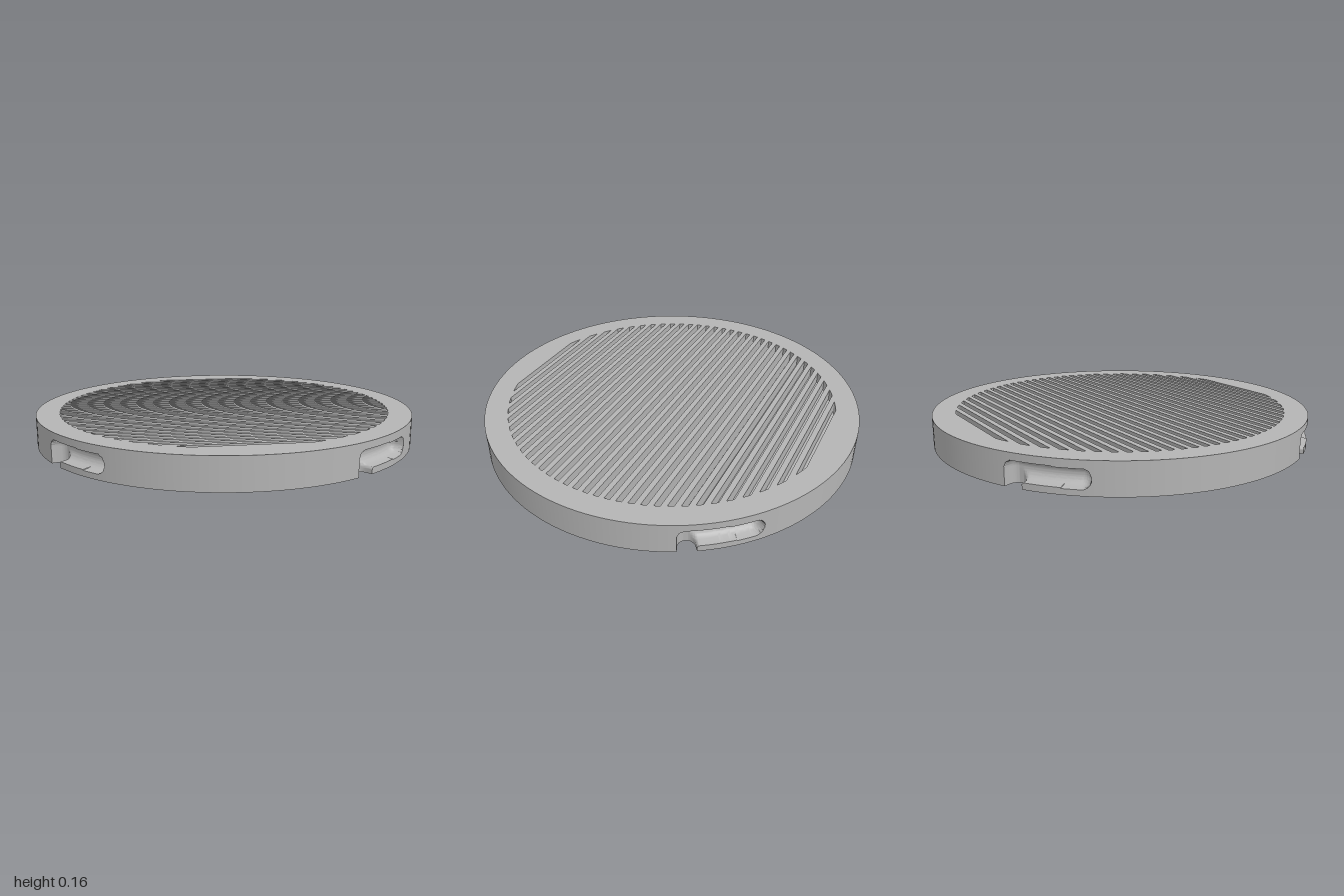
import * as THREE from 'three';
import { toCreasedNormals } from 'three/addons/utils/BufferGeometryUtils.js';

const HEIGHT = 0.158;   // disc thickness
const RIM_INNER = 0.9;  // where the rim meets the grooved plates
const GROOVE_R = 0.88;  // radius reached by the grooves
const PITCH = 0.055;
const GROOVE_DEPTH = 0.06;
const SLOT_R = 0.043;   // half width of the bayonet slots

function segmentDistance(px, py, ax, ay, bx, by) {
  const dx = bx - ax, dy = by - ay;
  const t = THREE.MathUtils.clamp(((px - ax) * dx + (py - ay) * dy) / (dx * dx + dy * dy), 0, 1);
  return Math.hypot(px - ax - t * dx, py - ay - t * dy);
}

// Radius of the outer wall, cut by an L-shaped round-bottomed slot at angle s
function wallRadius(s, y) {
  const entry = segmentDistance(s, y, 0, -0.1, 0, 0.079);
  const run = segmentDistance(s, y, 0, 0.079, 0.313, 0.073);
  const blend = Math.max(0.02 - Math.abs(entry - run), 0) / 0.02;
  const d = Math.min(entry, run) - (s > 0.02 && y < 0.06 ? blend * blend * 0.005 : 0);
  return d < SLOT_R ? 0.975 - Math.sqrt(SLOT_R * SLOT_R - d * d) : 1;
}

// Rim: rows run from the bottom face up the slotted wall and over the top face
function rimGeometry() {
  const angles = [];
  for (let k = 0; k < 4; k++) {
    const base = k * Math.PI / 2;
    for (let i = 0; i < 110; i++) angles.push([base, -0.06 + 0.43 * i / 110]);
    for (let i = 0; i < 24; i++) angles.push([base, 0.37 + (Math.PI / 2 - 0.43) * i / 24]);
  }
  const rows = 40, positions = [], index = [];
  const stride = rows + 3;
  for (const [base, s] of angles) {
    const a = base + s;
    const put = (r, y) => positions.push(r * Math.sin(a), y, r * Math.cos(a));
    put(RIM_INNER, 0);
    for (let j = 0; j <= rows; j++) {
      const y = HEIGHT * j / rows;
      put(wallRadius(s, y), y);
    }
    put(RIM_INNER, HEIGHT);
  }
  for (let i = 0; i < angles.length; i++) {
    const next = (i + 1) % angles.length;
    for (let j = 0; j < stride - 1; j++) {
      const a = i * stride + j, b = next * stride + j;
      index.push(a, b, b + 1, a, b + 1, a + 1);
    }
  }
  const geometry = new THREE.BufferGeometry();
  geometry.setAttribute('position', new THREE.Float32BufferAttribute(positions, 3));
  geometry.setIndex(index);
  return toCreasedNormals(geometry, 0.7);
}

// Round plate with parallel grooves cut through it in one direction
function groovedPlate(angle) {
  const shape = new THREE.Shape().absarc(0, 0, RIM_INNER + 0.001, 0, Math.PI * 2);
  const along = new THREE.Vector2(Math.cos(angle), Math.sin(angle));
  const across = new THREE.Vector2(-along.y, along.x);
  for (let i = -15; i <= 15; i++) {
    const points = [];
    for (const side of [1, -1]) {
      for (let k = -2; k <= 2; k++) {
        const o = i * PITCH + side * k * PITCH / 8;
        const reach = side * Math.sqrt(GROOVE_R * GROOVE_R - o * o);
        points.push(along.clone().multiplyScalar(reach).addScaledVector(across, o));
      }
    }
    shape.holes.push(new THREE.Path(points));
  }
  const geometry = new THREE.ExtrudeGeometry(shape, { depth: GROOVE_DEPTH, bevelEnabled: false, curveSegments: 128 });
  return geometry.rotateX(-Math.PI / 2);
}

export function createModel() {
  const group = new THREE.Group();
  group.name = 'groovedDisc';
  const grey = new THREE.MeshStandardMaterial({ color: 0xb4b4b4 });
  grey.name = 'grey';

  const add = (name, geometry, y = 0) => {
    const mesh = new THREE.Mesh(geometry, grey);
    mesh.name = name;
    mesh.position.y = y;
    group.add(mesh);
  };

  add('slottedRim', rimGeometry());
  add('topGrooves', groovedPlate(-Math.PI / 6), HEIGHT - GROOVE_DEPTH);
  add('bottomGrooves', groovedPlate(Math.PI / 2));

  // Solid floor shared by both sets of grooves
  const coreHeight = HEIGHT - 2 * GROOVE_DEPTH;
  add('core', new THREE.CylinderGeometry(RIM_INNER, RIM_INNER, coreHeight, 96), HEIGHT / 2);
  return group;
}
